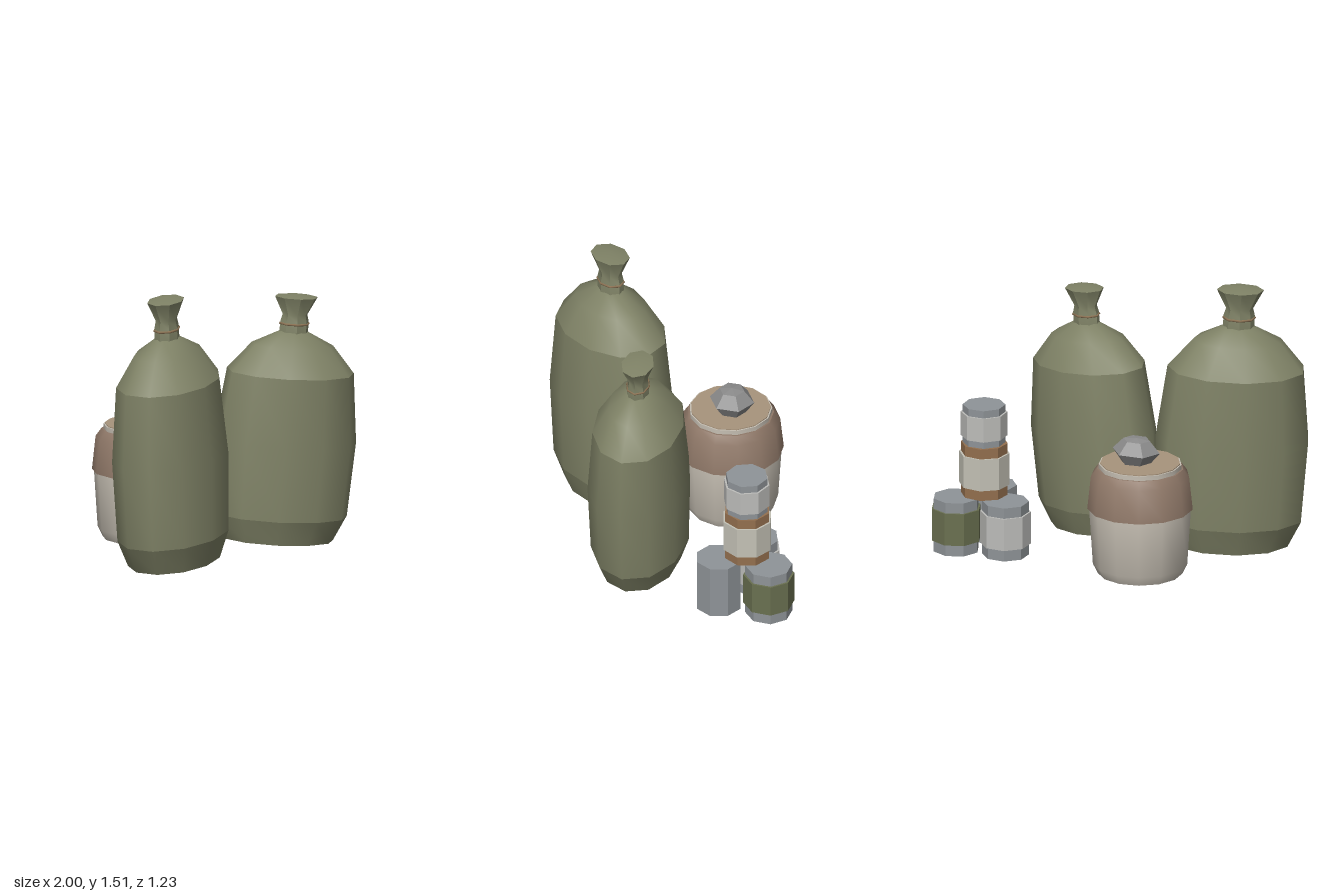
import * as THREE from 'three';
import { toCreasedNormals } from 'three/addons/utils/BufferGeometryUtils.js';

const mat = (color, flatShading = false) => new THREE.MeshStandardMaterial({ color, flatShading, roughness: 0.9 });
const green = mat(0x7f8266), twine = mat(0x8f7556);
const cream = mat(0xc6bfb3), cloth = mat(0x8f7868), lidTan = mat(0xa8947c);
const stoneGrey = mat(0x8c8c8c, true);
const tin = mat(0x8f9498, true), copper = mat(0x94704f, true);
const paper = mat(0xc4c2b6, true), pale = mat(0xbdbdba, true), olive = mat(0x6a7050, true);

function add(parent, name, geometry, material, x = 0, y = 0, z = 0) {
  const mesh = new THREE.Mesh(geometry, material);
  mesh.name = name;
  mesh.position.set(x, y, z);
  parent.add(mesh);
  return mesh;
}

// Turned profile, bottom to top, with soft shading and sharp rims
function turned(profile, sides, crease = 0.7, start = 0) {
  const points = profile.map(([r, y]) => new THREE.Vector2(r, y));
  return toCreasedNormals(new THREE.LatheGeometry(points, sides, start), crease);
}

// Oval sack with a pinched neck, a twine tie and a flared top
function sack(name) {
  const group = new THREE.Group();
  group.name = name;
  const body = turned([[0, 0], [0.79, 0], [0.955, 0.15], [1, 0.6], [0.89, 1.02],
    [0.57, 1.185], [0.19, 1.268], [0, 1.268]], 11, 0.7, Math.PI / 2 - 0.05);
  add(group, 'sackBody', body.scale(0.43, 1, 0.295), green);
  const neck = turned([[0.088, 1.25], [0.086, 1.33], [0.075, 1.37], [0.13, 1.478], [0, 1.498]], 8);
  add(group, 'sackNeck', neck.scale(1, 1, 0.74), green);
  const tie = new THREE.TorusGeometry(0.087, 0.007, 5, 8).rotateX(Math.PI / 2);
  add(group, 'neckTie', tie.scale(1, 1, 0.76), twine, 0, 1.315, 0);
  return group;
}

// Octagonal can with an optional raised label band
function can(parent, name, { x, y = 0, z, r = 0.13, h = 0.31, metal = tin, label, from, to, turn = 0 }) {
  const group = new THREE.Group();
  group.name = name;
  group.position.set(x, y, z);
  group.rotation.y = turn;
  add(group, 'canBody', new THREE.CylinderGeometry(r, r, h, 8), metal, 0, h / 2, 0);
  if (label) {
    add(group, 'canLabel', new THREE.CylinderGeometry(r + 0.011, r + 0.011, to - from, 8), label, 0, (from + to) / 2, 0);
  }
  parent.add(group);
  return group;
}

export function createModel() {
  const model = new THREE.Group();
  model.name = 'campSupplies';

  // Two leaning sacks
  const tall = sack('tallSack');
  tall.position.set(-0.56, 0.015, 0.235);
  tall.rotation.set(0, 0.332, 0.047, 'ZXY');
  const short = sack('shortSack');
  short.position.set(0.185, 0.026, 0.288);
  short.rotation.set(0.035, -0.506, -0.078, 'ZXY');
  short.scale.set(0.945, 0.92, 0.945);
  model.add(tall, short);

  // Covered jar weighed down by a stone
  const jar = new THREE.Group();
  jar.name = 'coveredJar';
  jar.position.set(-0.215, 0, -0.338);
  add(jar, 'jarBody', turned([[0, 0], [0.235, 0], [0.262, 0.055], [0.282, 0.37], [0.272, 0.56], [0, 0.56]], 13), cream);
  add(jar, 'clothCover', turned([[0.27, 0.378], [0.293, 0.378], [0.273, 0.565], [0.24, 0.61], [0, 0.61]], 13), cloth);
  add(jar, 'lidRim', turned([[0.23, 0.6], [0.23, 0.636], [0, 0.636]], 13), cream);
  add(jar, 'lid', turned([[0.222, 0.6], [0.222, 0.641], [0, 0.641]], 13), lidTan);
  const stone = new THREE.LatheGeometry([[0, 0], [0.6, 0], [1, 0.07], [0.56, 0.135], [0, 0.145]]
    .map(([r, y]) => new THREE.Vector2(r, y)), 6, Math.PI / 2).scale(0.135, 1, 0.125);
  add(jar, 'lidStone', stone, stoneGrey, 0.025, 0.636, -0.002).rotation.z = 0.04;
  model.add(jar);

  // Pyramid of cans: three at the bottom, two stacked on top
  const cans = new THREE.Group();
  cans.name = 'canStack';
  can(cans, 'frontCan', { x: 0.715, z: -0.01, turn: 0.12 });
  can(cans, 'rightCan', { x: 0.577, z: -0.257, label: pale, from: 0.065, to: 0.25, turn: 0.2 });
  can(cans, 'leftCan', { x: 0.86, z: -0.255, label: olive, from: 0.065, to: 0.25, turn: -0.2 });
  can(cans, 'middleCan', { x: 0.722, y: 0.31, z: -0.17, h: 0.3, metal: copper, label: paper, from: 0.06, to: 0.243, turn: 0.1 });
  can(cans, 'topCan', { x: 0.725, y: 0.61, z: -0.167, r: 0.118, h: 0.22, label: pale, from: 0.04, to: 0.178, turn: 0.25 });
  model.add(cans);
  return model;
}
